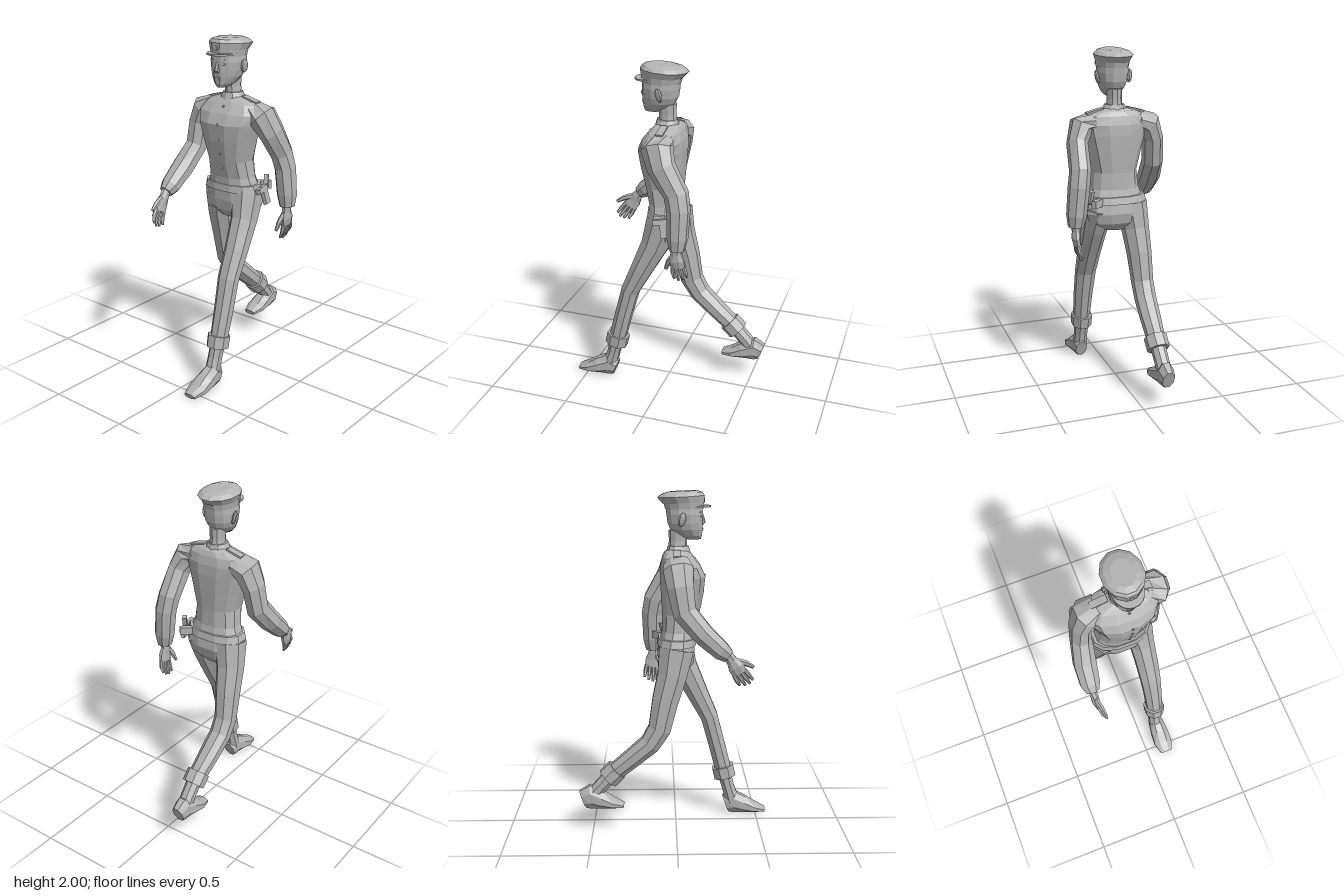
import * as THREE from 'three';

const grey = new THREE.MeshStandardMaterial({ color: 0xb4b4b4 });
grey.name = 'grey';

// Faceted mesh with a plain part name
function part(parent, name, geometry, pos = [0, 0, 0], rot = [0, 0, 0], scale = [1, 1, 1]) {
  const g = geometry.index ? geometry.toNonIndexed() : geometry;
  g.computeVertexNormals();
  const m = new THREE.Mesh(g, grey);
  m.name = name;
  m.position.set(...pos);
  m.rotation.set(...rot);
  m.scale.set(...scale);
  parent.add(m);
  return m;
}

// Closed skin over rings [x, y, z, halfWidth, halfDepth]; rings follow the path unless flat
function loft(rings, n = 8, flat = false, power = 1) {
  const centres = rings.map(r => new THREE.Vector3(r[0], r[1], r[2]));
  const bend = c => Math.sign(c) * Math.pow(Math.abs(c), power);
  const grow = 1 / Math.pow(Math.cos(Math.PI / n), power);
  const loops = rings.map((r, i) => {
    const d = new THREE.Vector3(0, -1, 0);
    if (!flat) {
      d.set(0, 0, 0);
      if (i > 0) d.add(centres[i].clone().sub(centres[i - 1]).normalize());
      if (i < rings.length - 1) d.add(centres[i + 1].clone().sub(centres[i]).normalize());
      d.normalize();
    }
    const u = new THREE.Vector3(1, 0, 0).addScaledVector(d, -d.x).normalize();
    const v = new THREE.Vector3().crossVectors(d, u);
    return Array.from({ length: n }, (_, j) => {
      const a = (j + 0.5) / n * Math.PI * 2;
      return centres[i].clone()
        .addScaledVector(u, r[3] * grow * bend(Math.cos(a)))
        .addScaledVector(v, r[4] * grow * bend(Math.sin(a)));
    });
  });
  const pts = [], last = rings.length - 1;
  for (let j = 0; j < n; j++) {
    const k = (j + 1) % n;
    for (let i = 0; i < last; i++) {
      const a = loops[i][j], b = loops[i][k], c = loops[i + 1][k], d = loops[i + 1][j];
      pts.push(a, b, c, a, c, d);
    }
    pts.push(centres[0], loops[0][k], loops[0][j], centres[last], loops[last][j], loops[last][k]);
  }
  return new THREE.BufferGeometry().setFromPoints(pts);
}

// Upright body from rows [y, halfWidth, frontZ, backZ]
const body = (rows, n = 12, power = 1) =>
  loft(rows.map(([y, w, f, b]) => [0, y, (f + b) / 2, w, (f - b) / 2]), n, true, power);

// Hand with fingers pointing down and thumb forward; side is +1 for the left
function hand(parent, side, pos, rot) {
  const g = new THREE.Group();
  g.name = side > 0 ? 'leftHand' : 'rightHand';
  g.position.set(...pos);
  g.rotation.set(...rot);
  parent.add(g);
  part(g, 'palm', loft([[0, 0.03, 0, 0.023, 0.027], [0, -0.02, 0, 0.022, 0.032],
    [0.004 * side, -0.06, 0, 0.021, 0.045], [0, -0.105, -0.004, 0.016, 0.042]]));
  [[0.029, 0.085], [0.008, 0.095], [-0.014, 0.088], [-0.036, 0.07]].forEach(([z, len]) =>
    part(g, 'finger', loft([[0, -0.095, z, 0.012, 0.011], [-0.003 * side, -0.1 - len * 0.5, z * 1.15, 0.011, 0.011],
      [-0.02 * side, -0.1 - len, z * 1.2, 0.006, 0.007]], 6)));
  part(g, 'thumb', loft([[0, -0.025, 0.015, 0.014, 0.016], [-0.01 * side, -0.075, 0.055, 0.013, 0.015],
    [-0.018 * side, -0.125, 0.08, 0.007, 0.009]], 6));
}

function foot(parent, name, x, y, z) {
  part(parent, name, loft([[0, 0.055, 0, 0.035, 0.055], [0, 0.072, 0.045, 0.046, 0.072],
    [0, 0.052, 0.11, 0.055, 0.052], [0, 0.03, 0.18, 0.058, 0.03], [0, 0.015, 0.245, 0.038, 0.014]]), [x, y, z]);
}

export function createModel() {
  const root = new THREE.Group();
  root.name = 'walkingOfficer';

  // Jacket, belt and hips
  part(root, 'jacket', body([[1.67, 0.055, 0.06, -0.045], [1.655, 0.11, 0.078, -0.065],
    [1.63, 0.175, 0.1, -0.078], [1.58, 0.205, 0.14, -0.09], [1.52, 0.188, 0.168, -0.093],
    [1.42, 0.16, 0.158, -0.088], [1.3, 0.13, 0.135, -0.08], [1.2, 0.14, 0.11, -0.082],
    [1.13, 0.165, 0.108, -0.098]], 12, 0.85));
  part(root, 'belt', body([[1.16, 0.172, 0.113, -0.102], [1.118, 0.184, 0.117, -0.112]], 12, 0.85));
  part(root, 'hips', body([[1.13, 0.17, 0.108, -0.1], [1.06, 0.186, 0.108, -0.11],
    [1.0, 0.165, 0.1, -0.095], [0.95, 0.07, 0.06, -0.05]], 12, 0.85));
  [[1.615, 0.11], [1.52, 0.168], [1.43, 0.16], [1.35, 0.146], [1.26, 0.126]].forEach(([y, z]) =>
    part(root, 'button', new THREE.CylinderGeometry(0.008, 0.008, 0.008, 6), [0.01, y, z], [Math.PI / 2, 0, 0]));

  // Neck and collar
  part(root, 'neck', body([[1.78, 0.043, 0.07, -0.04], [1.72, 0.04, 0.062, -0.038], [1.64, 0.046, 0.06, -0.045]], 10));
  part(root, 'collar', body([[1.69, 0.054, 0.07, -0.044], [1.65, 0.075, 0.082, -0.056]], 10));

  // Head and face
  part(root, 'head', body([[1.93, 0.084, 0.15, -0.06], [1.87, 0.088, 0.153, -0.055],
    [1.82, 0.082, 0.151, -0.048], [1.785, 0.071, 0.151, -0.032], [1.75, 0.05, 0.149, 0.01],
    [1.728, 0.025, 0.142, 0.06]], 12, 0.9));
  part(root, 'nose', loft([[0, 1.87, 0.147, 0.008, 0.008], [0, 1.825, 0.156, 0.013, 0.013],
    [0, 1.81, 0.149, 0.014, 0.008]], 6, true));
  part(root, 'upperLip', new THREE.BoxGeometry(0.042, 0.007, 0.012), [0, 1.789, 0.15]);
  part(root, 'lowerLip', new THREE.BoxGeometry(0.03, 0.008, 0.012), [0, 1.778, 0.15]);
  for (const s of [1, -1]) {
    part(root, 'eye', new THREE.SphereGeometry(0.015, 8, 6), [0.036 * s, 1.862, 0.143], [0, 0.4 * s, 0], [1, 0.5, 0.4]);
    part(root, 'eyebrow', new THREE.BoxGeometry(0.036, 0.007, 0.009), [0.038 * s, 1.882, 0.143], [0, 0.45 * s, 0.12 * s]);
    part(root, 'ear', new THREE.SphereGeometry(0.04, 8, 6), [0.097 * s, 1.845, 0.032], [0.15, -0.35 * s, -0.15 * s], [0.32, 1, 0.6]);
    part(root, 'shoulderStrap', new THREE.BoxGeometry(0.1, 0.01, 0.042), [0.125 * s, 1.655, 0.005], [0, 0, -0.25 * s]);
  }

  // Peaked cap
  part(root, 'capBand', body([[1.95, 0.098, 0.16, -0.075], [1.9, 0.09, 0.156, -0.062]]));
  const crown = part(root, 'capCrown', body([[0.035, 0.06, 0.09, -0.07], [0.024, 0.092, 0.122, -0.11],
    [0.006, 0.11, 0.133, -0.136], [-0.03, 0.096, 0.13, -0.108]]), [0, 1.965, 0.03], [-0.05, 0, 0]);
  crown.updateMatrix();
  const peak = new THREE.Shape();
  peak.moveTo(-0.088, -0.09);
  peak.quadraticCurveTo(-0.075, -0.2, 0, -0.2);
  peak.quadraticCurveTo(0.075, -0.2, 0.088, -0.09);
  part(root, 'capPeak', new THREE.ExtrudeGeometry(peak, { depth: 0.01, bevelEnabled: false, curveSegments: 5 }),
    [0, 1.91, 0], [-Math.PI / 2, 0, 0]);
  part(root, 'capBadge', new THREE.CylinderGeometry(0.014, 0.014, 0.008, 6), [0, 1.948, 0.161], [Math.PI / 2, 0, 0]);

  // Left arm swings back
  part(root, 'leftSleeve', loft([[0.13, 1.605, 0, 0.045, 0.07], [0.205, 1.57, 0.005, 0.068, 0.088],
    [0.24, 1.48, -0.035, 0.056, 0.078], [0.25, 1.34, -0.122, 0.057, 0.068],
    [0.265, 1.25, -0.14, 0.058, 0.063], [0.28, 1.09, -0.14, 0.055, 0.056], [0.285, 1.02, -0.137, 0.042, 0.042]]));
  hand(root, 1, [0.283, 1.01, -0.133], [0.08, 0, -0.04]);

  // Right arm swings forward
  part(root, 'rightSleeve', loft([[-0.13, 1.605, 0, 0.045, 0.07], [-0.205, 1.57, 0.01, 0.068, 0.085],
    [-0.24, 1.48, 0.02, 0.056, 0.075], [-0.252, 1.34, 0.045, 0.057, 0.068],
    [-0.272, 1.22, 0.15, 0.064, 0.06], [-0.28, 1.13, 0.25, 0.056, 0.052], [-0.28, 1.1, 0.29, 0.038, 0.038]]));
  hand(root, -1, [-0.28, 1.085, 0.3], [-0.6, 0, 0.08]);

  // Left leg steps forward
  part(root, 'leftTrouser', loft([[0.098, 1.1, 0.0, 0.088, 0.1], [0.113, 0.95, 0.052, 0.072, 0.078],
    [0.12, 0.78, 0.135, 0.066, 0.063], [0.122, 0.63, 0.208, 0.061, 0.052],
    [0.126, 0.45, 0.256, 0.055, 0.05], [0.125, 0.26, 0.305, 0.048, 0.05]]));
  part(root, 'leftCuff', loft([[0.123, 0.305, 0.294, 0.062, 0.066], [0.123, 0.235, 0.31, 0.06, 0.066]]));
  part(root, 'leftAnkle', loft([[0.122, 0.26, 0.305, 0.042, 0.042], [0.12, 0.17, 0.33, 0.04, 0.038],
    [0.12, 0.07, 0.36, 0.042, 0.045]]));
  foot(root, 'leftFoot', 0.122, 0, 0.315);

  // Right leg trails behind
  part(root, 'rightTrouser', loft([[-0.098, 1.1, 0, 0.088, 0.1], [-0.118, 0.95, -0.025, 0.076, 0.085],
    [-0.13, 0.8, -0.065, 0.068, 0.076], [-0.138, 0.63, -0.1, 0.061, 0.066],
    [-0.138, 0.54, -0.155, 0.06, 0.06], [-0.132, 0.45, -0.26, 0.057, 0.055], [-0.125, 0.34, -0.39, 0.048, 0.05]]));
  part(root, 'rightCuff', loft([[-0.124, 0.375, -0.352, 0.063, 0.063], [-0.124, 0.32, -0.408, 0.062, 0.063]]));
  part(root, 'rightAnkle', loft([[-0.124, 0.35, -0.38, 0.042, 0.042], [-0.125, 0.26, -0.462, 0.04, 0.04],
    [-0.127, 0.2, -0.51, 0.042, 0.042]]));
  foot(root, 'rightFoot', -0.127, 0.135, -0.56);

  // Holster on the left hip
  part(root, 'holster', new THREE.BoxGeometry(0.022, 0.11, 0.05), [0.2, 1.1, -0.035], [0.1, 0.2, 0.2]);
  part(root, 'holsterFlap', new THREE.BoxGeometry(0.03, 0.03, 0.1), [0.192, 1.135, -0.015], [0.1, 0.2, 0.2]);
  part(root, 'holsterGrip', new THREE.BoxGeometry(0.025, 0.075, 0.03), [0.177, 1.17, -0.075], [-0.3, 0.5, 0.15]);
  part(root, 'beltPouch', new THREE.BoxGeometry(0.075, 0.045, 0.03), [0.145, 1.135, -0.105], [0, 0.7, 0]);
  return root;
}
